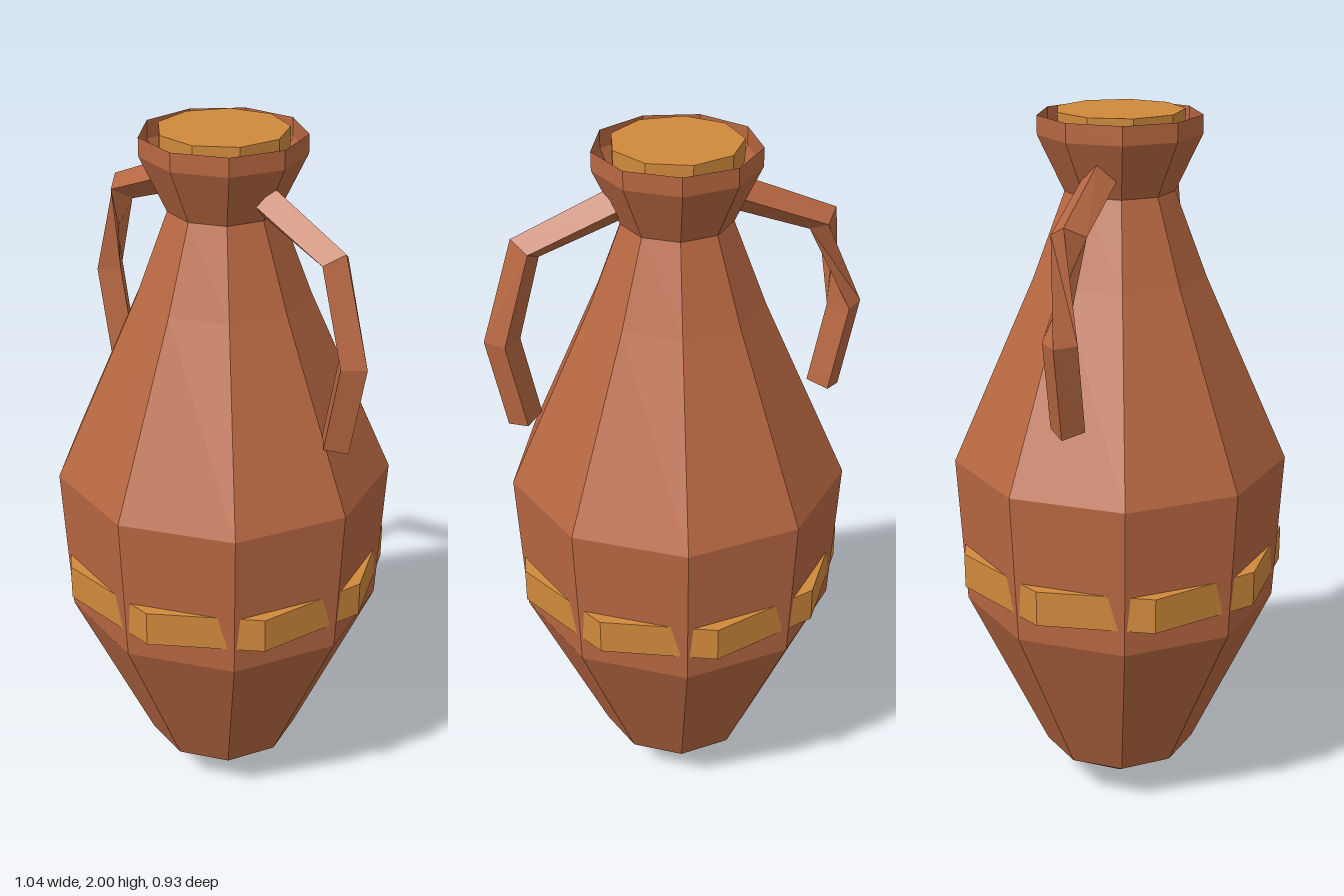
import * as THREE from 'three';

const SIDES = 9;

// Gives every face its own flat normal
function faceted(geometry) {
  const g = geometry.index ? geometry.toNonIndexed() : geometry;
  g.computeVertexNormals();
  return g;
}

// Four-sided bent bar lofted through diamond rings; twistAt turns the rings from that index on
function handleGeometry(side, twistAt = Infinity) {
  const halfDepth = 0.047;
  // outer x, outer y, inner x, inner y of each ring
  const rings = [
    [0.185, 1.885, 0.15, 1.80],
    [0.433, 1.778, 0.362, 1.722],
    [0.518, 1.495, 0.422, 1.495],
    [0.467, 1.24, 0.375, 1.265],
  ].map(([ox, oy, ix, iy], k) => {
    const mx = (ox + ix) / 2, my = (oy + iy) / 2;
    const ring = [[ox, oy, 0], [mx, my, halfDepth], [ix, iy, 0], [mx, my, -halfDepth]];
    const shift = k >= twistAt ? 1 : 0;
    return ring.map((_, i) => {
      const [x, y, z] = ring[(i + shift) % 4];
      return [x * side, y, z];
    });
  });
  const pos = [];
  const tri = (a, b, c) => (side > 0 ? pos.push(...a, ...b, ...c) : pos.push(...a, ...c, ...b));
  for (let k = 0; k < rings.length - 1; k++) {
    const a = rings[k], b = rings[k + 1];
    for (let i = 0; i < 4; i++) {
      const j = (i + 1) % 4;
      tri(a[i], b[j], a[j]);
      tri(a[i], b[i], b[j]);
    }
  }
  // End caps
  const [s, e] = [rings[0], rings[rings.length - 1]];
  for (const i of [1, 2]) {
    tri(s[0], s[i], s[i + 1]);
    tri(e[0], e[i + 1], e[i]);
  }
  const g = new THREE.BufferGeometry();
  g.setAttribute('position', new THREE.Float32BufferAttribute(pos, 3));
  return faceted(g);
}

export function createModel() {
  const clay = new THREE.MeshStandardMaterial({ color: 0xb86842, side: THREE.DoubleSide });
  clay.name = 'terracotta';
  const gold = new THREE.MeshStandardMaterial({ color: 0xd08a3c });
  gold.name = 'ochre';

  const group = new THREE.Group();
  group.name = 'amphora';
  const add = (name, geometry, material) => {
    const mesh = new THREE.Mesh(geometry, material);
    mesh.name = name;
    group.add(mesh);
    return mesh;
  };

  // Pointed body, neck and open flared rim
  const profile = [
    [0, 0], [0.02, 0], [0.22, 0.13], [0.445, 0.625], [0.467, 1.05],
    [0.237, 1.56], [0.149, 1.79], [0.22, 1.94], [0.22, 1.99],
  ].map(([r, y]) => new THREE.Vector2(r, y));
  add('body', faceted(new THREE.LatheGeometry(profile, SIDES, Math.PI / 2)), clay);

  // Band, turned against the body so only its corners stand proud
  const band = add('band', faceted(new THREE.CylinderGeometry(0.467, 0.467, 0.1, SIDES)), gold);
  band.position.y = 0.75;
  band.rotation.y = Math.PI;

  // Stopper in the mouth
  const lid = add('lid', faceted(new THREE.CylinderGeometry(0.173, 0.173, 0.06, SIDES)), gold);
  lid.position.y = 1.97;
  lid.rotation.y = Math.PI;

  // Handles, the right one twisted in its middle section
  add('leftHandle', handleGeometry(1), clay);
  add('rightHandle', handleGeometry(-1, 2), clay);

  return group;
}
